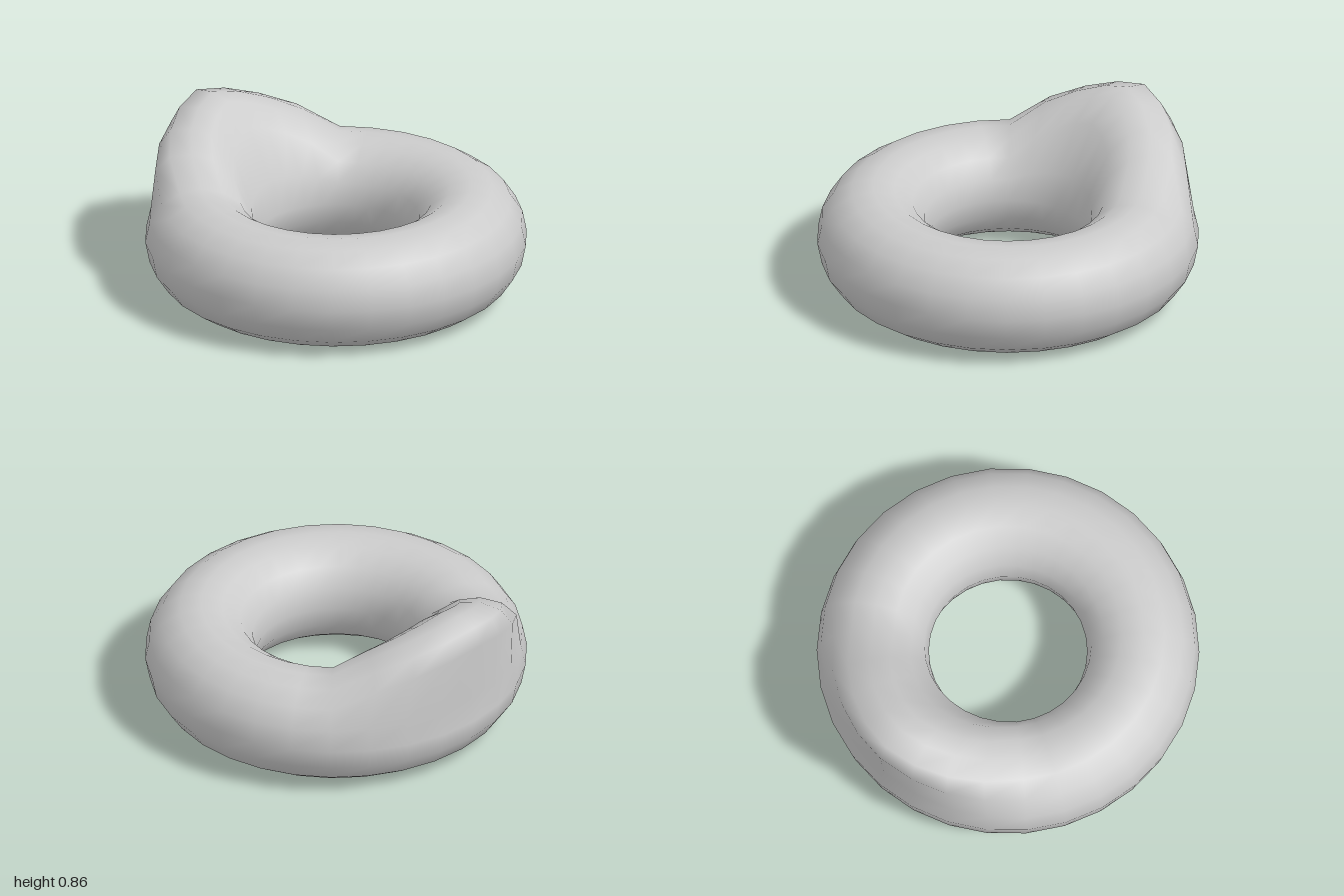
import * as THREE from 'three';
import { mergeVertices } from 'three/addons/utils/BufferGeometryUtils.js';

const RING = 0.70, TUBE = 0.29, AROUND = 30, SIDES = 16;

// Pull of the backrest for each step round the tube, from the outer rim over
// the top to the inner rim: [up, back]
const PULL = [
  [0, 0], [0.01, -0.01], [0.25, 0.10], [0.28, 0.155], [0.28, 0.15],
  [0.28, 0.15], [0.235, 0.105], [0.07, 0.02], [0, 0],
];
// Strength of the pull for each step round the ring, away from the back centre
const FADE = [1, 0.88, 0.68, 0.42, 0];

function floatGeometry() {
  let geometry = new THREE.TorusGeometry(RING, TUBE, SIDES, AROUND);
  geometry.rotateZ(Math.PI / 2); // first cross-section sits at the back
  geometry.rotateX(-Math.PI / 2);
  geometry.translate(0, TUBE + 0.003, 0);

  // Raise the rear of the tube into a backrest
  const p = geometry.attributes.position;
  for (let j = 0; j <= 8; j++) {
    const [up, back] = PULL[j];
    for (let i = 0; i <= AROUND; i++) {
      const w = FADE[Math.min(i, AROUND - i)] ?? 0;
      const n = j * (AROUND + 1) + i;
      p.setXYZ(n, p.getX(n) - 0.1 * up * w, p.getY(n) + up * w, p.getZ(n) - back * w);
    }
  }

  // Weld the seams so the shading is smooth all round
  geometry.deleteAttribute('uv');
  geometry.deleteAttribute('normal');
  geometry = mergeVertices(geometry, 1e-4);
  geometry.computeVertexNormals();
  return geometry;
}

export function createModel() {
  const group = new THREE.Group();
  group.name = 'swimRing';
  const ring = new THREE.Mesh(
    floatGeometry(),
    new THREE.MeshStandardMaterial({ color: 0xcccccc }),
  );
  ring.name = 'ringWithBackrest';
  group.add(ring);
  return group;
}
